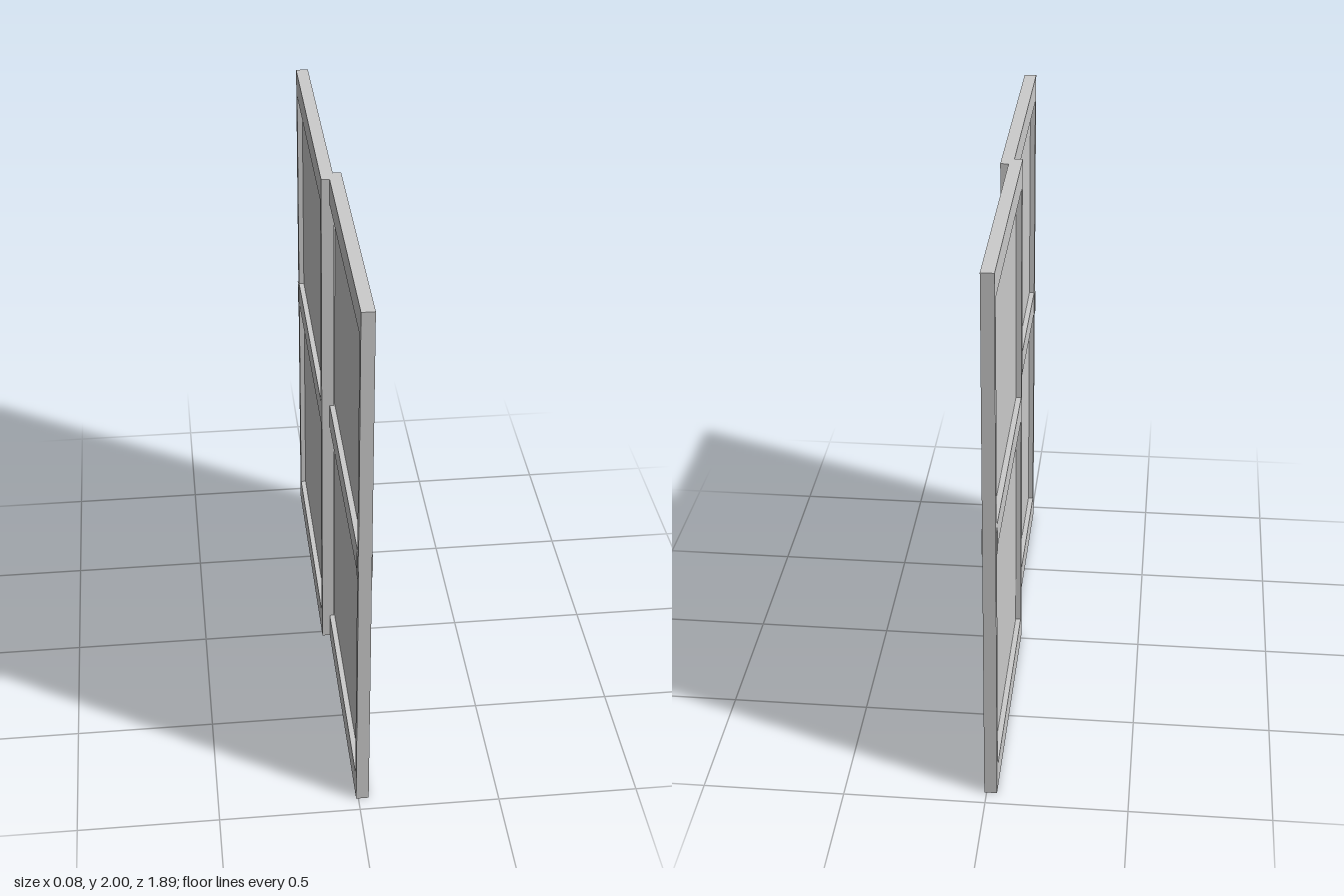
import * as THREE from 'three';

const grey = new THREE.MeshStandardMaterial({ color: 0xcccccc });
grey.name = 'light grey';

function box(name, x0, x1, y0, y1, z0, z1) {
  const mesh = new THREE.Mesh(new THREE.BoxGeometry(x1 - x0, y1 - y0, z1 - z0), grey);
  mesh.name = name;
  mesh.position.set((x0 + x1) / 2, (y0 + y1) / 2, (z0 + z1) / 2);
  return mesh;
}

// Rectangle outline in the (z, y) plane
function rect(target, z0, z1, y0, y1) {
  target.moveTo(z0, y0);
  target.lineTo(z1, y0);
  target.lineTo(z1, y1);
  target.lineTo(z0, y1);
  target.closePath();
  return target;
}

// One sliding leaf: frame with two openings, thin recessed panes, edge pull
function makeLeaf(name) {
  const leaf = new THREE.Group();
  leaf.name = name;
  const x0 = -0.008, x1 = 0.037, mid = (x0 + x1) / 2;
  const openings = [[0.1, 0.99], [1.085, 1.905]];
  const z0 = 0.014, z1 = 0.911;

  const outline = rect(new THREE.Shape(), -0.025, 0.945, 0, 2);
  for (const [a, b] of openings) outline.holes.push(rect(new THREE.Path(), z0, z1, a, b));
  const geometry = new THREE.ExtrudeGeometry(outline, { depth: x1 - x0, bevelEnabled: false });
  geometry.rotateY(-Math.PI / 2);
  geometry.translate(x1, 0, 0);
  const frame = new THREE.Mesh(geometry, grey);
  frame.name = 'frame';
  leaf.add(frame);

  for (const [a, b] of openings) leaf.add(box('pane', mid - 0.003, mid + 0.003, a, b, z0, z1));

  // Slim pull plates standing proud of both faces of the outer stile
  leaf.add(box('outerPull', x1, x1 + 0.003, 0.99, 1.08, 0.912, 0.94));
  leaf.add(box('innerPull', x0 - 0.003, x0, 0.99, 1.08, 0.912, 0.94));
  return leaf;
}

export function createModel() {
  const model = new THREE.Group();
  model.name = 'slidingWindow';

  // The two leaves are the same, turned half a turn about the centre
  const front = makeLeaf('frontLeaf');
  const back = makeLeaf('backLeaf');
  back.rotation.y = Math.PI;
  model.add(front, back);

  // Small latch where the leaves meet
  const latch = new THREE.Group();
  latch.name = 'latch';
  latch.add(
    box('latchPlate', 0.008, 0.03, 0.99, 1.085, -0.03, -0.025),
    box('latchStem', 0.014, 0.022, 1.025, 1.06, -0.045, -0.03),
    box('latchLever', 0.008, 0.028, 1.02, 1.065, -0.05, -0.045),
    box('latchHook', 0.008, 0.016, 1.075, 1.088, -0.05, -0.03)
  );
  model.add(latch);
  return model;
}
